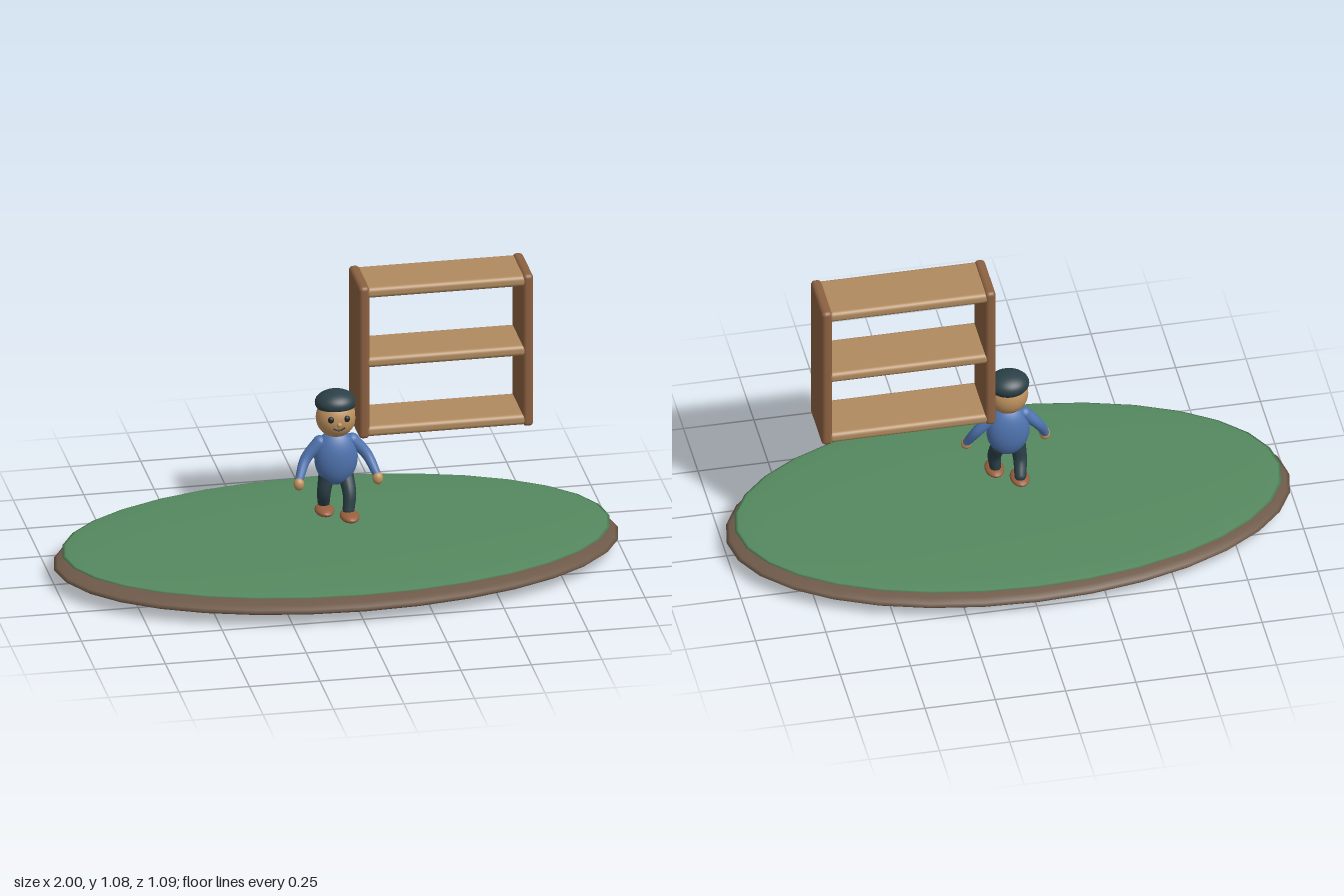
import * as THREE from 'three';
import { RoundedBoxGeometry } from 'three/addons/geometries/RoundedBoxGeometry.js';

const mat = (name, color) => new THREE.MeshStandardMaterial({ name, color });

export function createModel() {
  const grass = mat('grass green', 0x55895f);
  const earth = mat('earth brown', 0x6f5a49);
  const panelWood = mat('panel wood', 0x8b6040);
  const boardWood = mat('board wood', 0xb08a5f);
  const shirt = mat('shirt blue', 0x4f74b0);
  const dark = mat('dark teal', 0x2b4047);
  const skin = mat('skin', 0xc0935f);
  const leather = mat('shoe leather', 0x995f3e);
  const ink = mat('face ink', 0x22262a);

  const model = new THREE.Group();
  model.name = 'figureWithShelf';

  function add(parent, name, geometry, material, x = 0, y = 0, z = 0) {
    const mesh = new THREE.Mesh(geometry, material);
    mesh.name = name;
    mesh.position.set(x, y, z);
    parent.add(mesh);
    return mesh;
  }

  function ellipsoid(parent, name, material, center, radii, w = 32, h = 20) {
    const geometry = new THREE.SphereGeometry(1, w, h).scale(...radii);
    return add(parent, name, geometry, material, ...center);
  }

  // Tapered limb along a smooth curve, with rounded ends
  function limb(parent, name, material, points, r0, r1) {
    const curve = new THREE.CatmullRomCurve3(points.map(p => new THREE.Vector3(...p)));
    const rings = 16, sides = 16;
    const geometry = new THREE.TubeGeometry(curve, rings, 1, sides);
    const pos = geometry.attributes.position;
    const v = new THREE.Vector3();
    for (let i = 0; i <= rings; i++) {
      const c = curve.getPointAt(i / rings);
      const r = THREE.MathUtils.lerp(r0, r1, i / rings);
      for (let j = 0; j <= sides; j++) {
        const k = i * (sides + 1) + j;
        v.fromBufferAttribute(pos, k).sub(c).multiplyScalar(r).add(c);
        pos.setXYZ(k, v.x, v.y, v.z);
      }
    }
    add(parent, name, geometry, material);
    ellipsoid(parent, name + 'Top', material, points[0], [r0, r0, r0], 16, 10);
    ellipsoid(parent, name + 'End', material, points.at(-1), [r1, r1, r1], 16, 10);
  }

  // Ground: two flattened discs
  const ground = new THREE.Group();
  ground.name = 'ground';
  model.add(ground);
  ellipsoid(ground, 'earthDisc', earth, [0, 0.058, 0], [1, 0.055, 0.545]);
  ellipsoid(ground, 'grassDisc', grass, [0, 0.105, 0], [0.97, 0.017, 0.525]);

  // Open shelf
  const shelf = new THREE.Group();
  shelf.name = 'shelf';
  model.add(shelf);
  for (const [name, x] of [['rightPanel', 0.082], ['leftPanel', 0.663]]) {
    add(shelf, name, new RoundedBoxGeometry(0.038, 0.577, 0.208, 4, 0.015), panelWood, x, 0.798, 0);
  }
  for (const [name, y] of [['lowerBoard', 0.535], ['middleBoard', 0.797], ['upperBoard', 1.061]]) {
    add(shelf, name, new RoundedBoxGeometry(0.57, 0.04, 0.204, 4, 0.016), boardWood, 0.3725, y, 0);
  }

  // Figure: torso, head and cap
  const figure = new THREE.Group();
  figure.name = 'figure';
  model.add(figure);
  ellipsoid(figure, 'torso', shirt, [0, 0.408, 0], [0.077, 0.105, 0.053]);
  ellipsoid(figure, 'head', skin, [0, 0.561, 0], [0.071, 0.075, 0.063]);
  ellipsoid(figure, 'cap', dark, [0, 0.613, -0.008], [0.073, 0.043, 0.065]);

  // Face
  ellipsoid(figure, 'nose', skin, [0, 0.554, 0.064], [0.009, 0.009, 0.009], 12, 8);
  const smile = new THREE.CatmullRomCurve3([
    new THREE.Vector3(-0.021, 0.54, 0.058),
    new THREE.Vector3(0, 0.532, 0.06),
    new THREE.Vector3(0.021, 0.54, 0.058),
  ]);
  add(figure, 'smile', new THREE.TubeGeometry(smile, 12, 0.003, 8), ink);

  for (const s of [-1, 1]) {
    const side = s > 0 ? 'left' : 'right';
    ellipsoid(figure, side + 'Eye', ink, [s * 0.028, 0.572, 0.056], [0.011, 0.012, 0.008], 16, 10);

    // Arms hang slightly forward
    limb(figure, side + 'Arm', shirt,
      [[s * 0.058, 0.468, 0], [s * 0.108, 0.41, 0.004], [s * 0.138, 0.345, 0.036]], 0.024, 0.015);
    ellipsoid(figure, side + 'Hand', skin, [s * 0.14, 0.333, 0.044], [0.019, 0.023, 0.018], 16, 12);

    // Walking legs, left foot forward
    const footZ = s > 0 ? 0.04 : -0.034;
    const kneeZ = s > 0 ? 0.03 : -0.004;
    limb(figure, side + 'Leg', dark,
      [[s * 0.035, 0.335, 0], [s * 0.042, 0.275, kneeZ], [s * 0.037, 0.222, footZ]], 0.028, 0.021);
    ellipsoid(figure, side + 'Shoe', leather,
      [s * 0.038, 0.201, s > 0 ? 0.053 : -0.016], [0.034, 0.017, 0.053], 20, 12);
  }

  return model;
}
